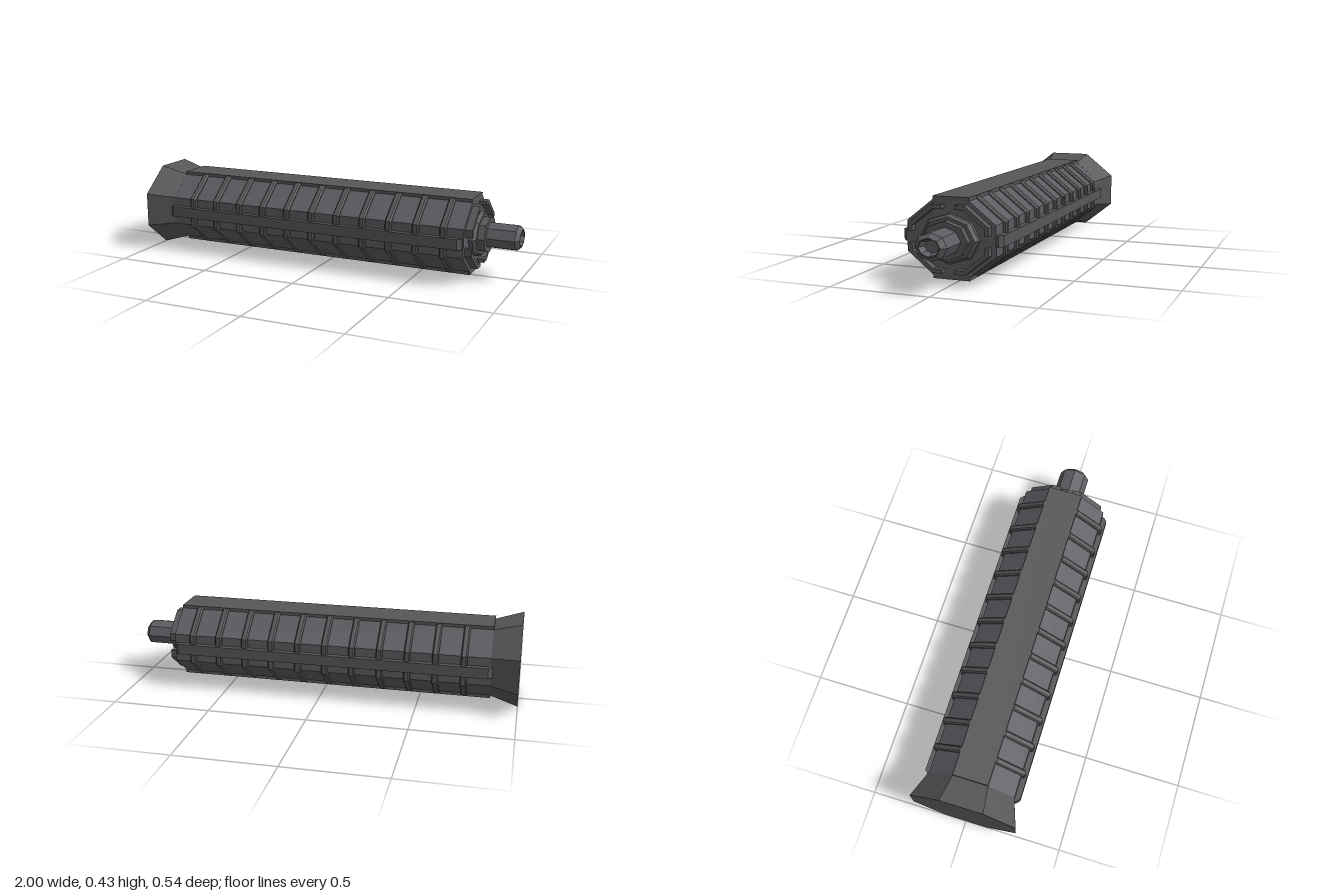
import * as THREE from 'three';

const CY = 0.216; // height of the long axis

// Prism with a (z, y) cross-section, running along x from x0 to x1
function prismX(points, x0, x1, bevel = 0) {
  const shape = new THREE.Shape(points.map(([z, y]) => new THREE.Vector2(-z, y)));
  const geo = new THREE.ExtrudeGeometry(shape, {
    depth: x1 - x0 - 2 * bevel,
    bevelEnabled: bevel > 0, bevelSegments: 1,
    bevelThickness: bevel, bevelSize: bevel, bevelOffset: -bevel,
  });
  return geo.rotateY(Math.PI / 2).translate(x0 + bevel, 0, 0);
}

// Octagon with half sizes a (z) and b (y) and flat lengths 2c, 2d
const octagon = (a, b, c, d) => [
  [c, b], [a, d], [a, -d], [c, -b], [-c, -b], [-a, -d], [-a, d], [-c, b],
];

// Squashed eight-sided turned part along x, from [radius, x] pairs
function turned(profile) {
  const geo = new THREE.LatheGeometry(profile.map(([r, x]) => new THREE.Vector2(r, x)), 8);
  return geo.rotateZ(-Math.PI / 2).scale(1, 0.8, 1);
}

export function createModel() {
  const model = new THREE.Group();
  const frameGrey = new THREE.MeshStandardMaterial({ color: 0x57575a, flatShading: true });
  frameGrey.name = 'frameGrey';
  const panelGrey = new THREE.MeshStandardMaterial({ color: 0x5c5c61, flatShading: true });
  panelGrey.name = 'panelGrey';

  const add = (name, geo, mat) => {
    const mesh = new THREE.Mesh(geo, mat);
    mesh.name = name;
    mesh.position.y = CY;
    model.add(mesh);
    return mesh;
  };

  // Main octagonal body
  add('body', prismX(octagon(0.22, 0.175, 0.09, 0.072), -0.87, 0.77), panelGrey);

  // Flared end, narrowing to the body
  const flare = prismX(octagon(0.27, 0.216, 0.11, 0.088), -1, -0.86);
  const pos = flare.attributes.position;
  for (let i = 0; i < pos.count; i++) {
    if (pos.getX(i) > -0.9) pos.setXYZ(i, pos.getX(i), pos.getY(i) * 0.815, pos.getZ(i) * 0.815);
  }
  flare.computeVertexNormals();
  add('flaredEnd', flare, frameGrey);

  // Raised strips on the top and bottom
  for (const s of [1, -1]) {
    const strip = new THREE.BoxGeometry(1.63, 0.04, 0.18).translate(-0.045, s * 0.171, 0);
    add(s > 0 ? 'topStrip' : 'bottomStrip', strip, frameGrey);
  }

  // Side rails with chamfered ends
  for (const s of [1, -1]) {
    const outline = [
      [-0.87, 0.2], [-0.87, 0.228], [-0.85, 0.248], [0.745, 0.248], [0.765, 0.228], [0.765, 0.2],
    ];
    const shape = new THREE.Shape(outline.map(([x, z]) => new THREE.Vector2(x, s * z)));
    const geo = new THREE.ExtrudeGeometry(shape, { depth: 0.054, bevelEnabled: false });
    add(s > 0 ? 'frontRail' : 'backRail', geo.rotateX(Math.PI / 2).translate(0, 0.027, 0), frameGrey);
  }

  // Ribs and end brackets, one set per quarter
  const ribOutline = [
    [0.08, 0.16], [0.08, 0.188], [0.095, 0.188], [0.238, 0.076], [0.238, 0.02], [0.2, 0.02], [0.2, 0.06],
  ];
  const bracketOutline = [
    [0.032, 0.158], [0.082, 0.158], [0.198, 0.066], [0.198, 0.027],
    [0.178, 0.027], [0.178, 0.056], [0.074, 0.138], [0.032, 0.138],
  ];
  for (const sz of [1, -1]) {
    for (const sy of [1, -1]) {
      const mirror = (pts) => pts.map(([z, y]) => [z * sz, y * sy]);
      for (let i = 0; i < 11; i++) {
        const x = -0.73 + i * 0.14;
        add('rib', prismX(mirror(ribOutline), x - 0.016, x + 0.016, 0.006), frameGrey);
      }
      add('endBracket', prismX(mirror(bracketOutline), 0.76, 0.806), frameGrey);
    }
  }

  // Stepped collar around the shaft
  add('collar', turned([
    [0.146, 0.765], [0.146, 0.79], [0.13, 0.805], [0.112, 0.805], [0.112, 0.84], [0, 0.84],
  ]), frameGrey);

  // Shaft with a chamfered tip and a blind hole
  add('shaft', turned([
    [0.08, 0.83], [0.08, 0.98], [0.055, 1], [0.05, 1], [0.036, 0.965], [0, 0.965],
  ]), panelGrey);

  return model;
}
